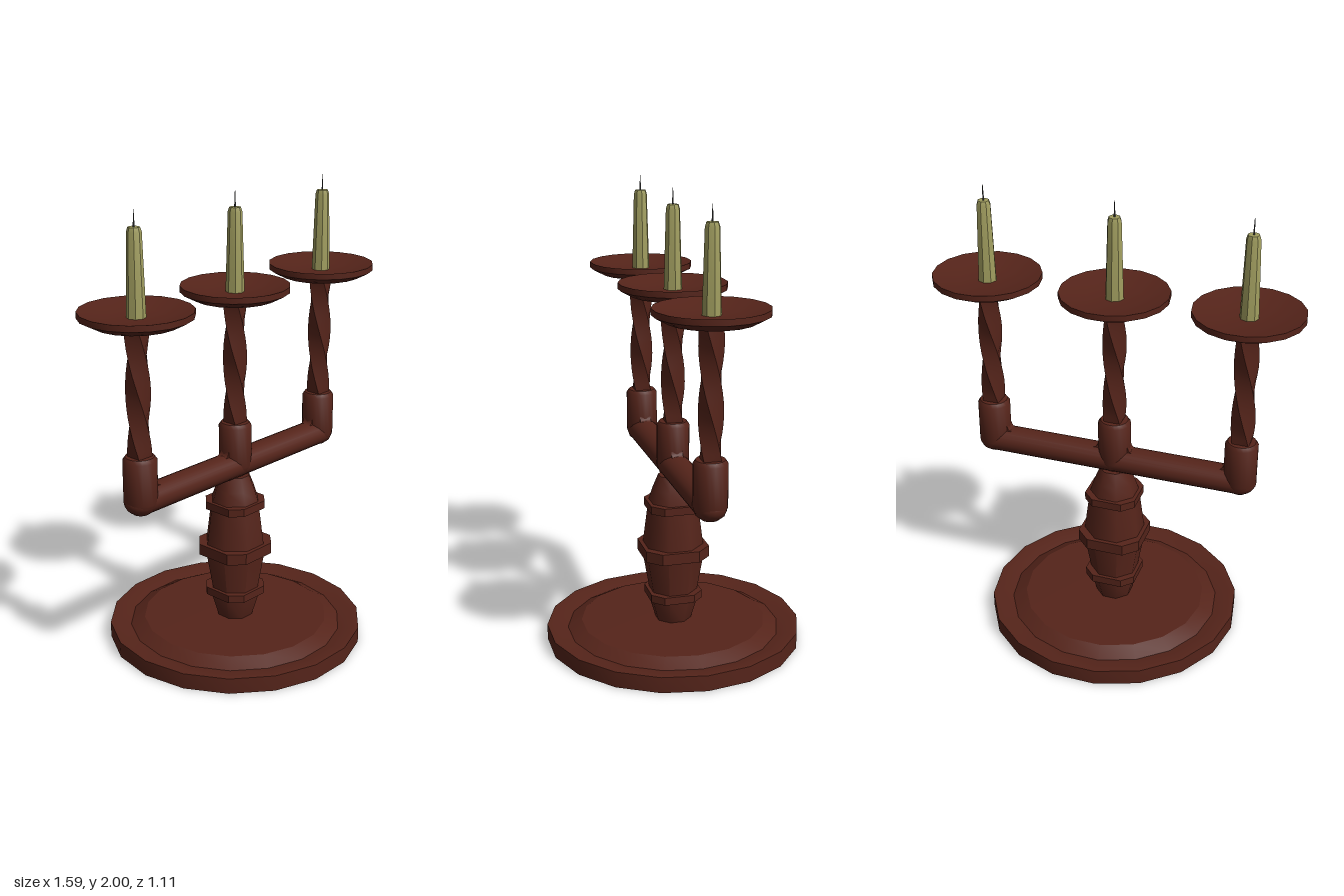
import * as THREE from 'three';
import { toCreasedNormals } from 'three/addons/utils/BufferGeometryUtils.js';

const wood = new THREE.MeshStandardMaterial({ color: 0x55241a });
const wax = new THREE.MeshStandardMaterial({ color: 0x9f9c5e });
const wickMat = new THREE.MeshStandardMaterial({ color: 0x4a4a48 });

function part(name, geometry, material = wood, crease = 0.6) {
  const mesh = new THREE.Mesh(toCreasedNormals(geometry, crease), material);
  mesh.name = name;
  return mesh;
}

// Turned shape from [radius, height] pairs, listed bottom to top, with a corner on +x
function turned(points, sides) {
  const geo = new THREE.LatheGeometry(points.map(([r, y]) => new THREE.Vector2(r, y)), sides);
  return geo.rotateY(Math.PI / 2);
}

// Square bar turned half a revolution along its height
function twistedBar(side, y0, y1) {
  const height = y1 - y0;
  const geo = new THREE.BoxGeometry(side, height, side, 1, 16, 1);
  const pos = geo.attributes.position;
  for (let i = 0; i < pos.count; i++) {
    const a = -Math.PI * (pos.getY(i) / height);
    const x = pos.getX(i), z = pos.getZ(i);
    pos.setX(i, x * Math.cos(a) + z * Math.sin(a));
    pos.setZ(i, z * Math.cos(a) - x * Math.sin(a));
  }
  return geo.translate(0, (y0 + y1) / 2, 0);
}

// Square collar with cut corners: half width, bottom, top
function collar(half, y0, y1) {
  const cut = half * 0.58;
  const corners = [[half, cut], [cut, half], [-cut, half], [-half, cut],
    [-half, -cut], [-cut, -half], [cut, -half], [half, -cut]];
  const shape = new THREE.Shape(corners.map(([x, y]) => new THREE.Vector2(x, y)));
  const geo = new THREE.ExtrudeGeometry(shape, { depth: y1 - y0, bevelEnabled: false });
  return part('collar', geo.rotateX(-Math.PI / 2).translate(0, y0, 0));
}

// Socket, twisted stem, drip tray, candle and wick
function candleHolder(name, x) {
  const holder = new THREE.Group();
  holder.name = name;
  holder.position.x = x;
  holder.add(
    part('socket', turned([
      [0, 0.753], [0.035, 0.757], [0.059, 0.776], [0.071, 0.81],
      [0.071, 0.99], [0.06, 1.006], [0, 1.006],
    ], 20), wood, 0.7),
    part('twistedStem', twistedBar(0.072, 1.0, 1.565)),
    part('dripTray', turned([
      [0, 1.554], [0.175, 1.554], [0.232, 1.584], [0.232, 1.61], [0.12, 1.582], [0, 1.58],
    ], 18), wood, 0.7),
    part('candle', turned([
      [0, 1.575], [0.04, 1.575], [0.03, 1.915], [0.024, 1.933], [0, 1.933],
    ], 8), wax, 0.3),
    part('wick', new THREE.CylinderGeometry(0.001, 0.004, 0.07, 6).translate(0, 1.965, 0), wickMat),
  );
  return holder;
}

// Small sloped filler in the corner between a socket and the arm; dir is the side it lies on
function fillet(x, dir) {
  const shape = new THREE.Shape();
  shape.moveTo(0, 0.84);
  shape.lineTo(0.1, 0.84);
  shape.lineTo(0.095, 0.86);
  shape.quadraticCurveTo(0.07, 0.862, 0.068, 0.885);
  shape.lineTo(0, 0.885);
  const geo = new THREE.ExtrudeGeometry(shape, { depth: 0.05, bevelEnabled: false, curveSegments: 4 });
  geo.translate(0, 0, -0.025);
  if (dir < 0) geo.rotateY(Math.PI);
  return part('fillet', geo.translate(x, 0, 0));
}

export function createModel() {
  const model = new THREE.Group();
  model.name = 'candelabrum';

  // Round foot: thin dish with a grooved rim, a raised middle and a hollow underside
  model.add(part('base', turned([
    [0, 0.07], [0.4, 0.068], [0.487, 0.045], [0.564, 0], [0.564, 0.07],
    [0.535, 0.07], [0.472, 0.055], [0.41, 0.088], [0, 0.09],
  ], 18), wood, 0.45));

  // Turned eight-sided column with flats to the front and sides
  const column = turned([
    [0, 0.08], [0.078, 0.08], [0.114, 0.2], [0.108, 0.23], [0.138, 0.4],
    [0.135, 0.44], [0.112, 0.62], [0.108, 0.645], [0.09, 0.7], [0.065, 0.762], [0, 0.762],
  ], 8);
  model.add(part('column', column.rotateY(Math.PI / 8), wood, 0.8));
  model.add(collar(0.115, 0.195, 0.23), collar(0.142, 0.395, 0.445), collar(0.115, 0.61, 0.645));

  // Horizontal arm, slightly wider than tall
  const arm = new THREE.CylinderGeometry(1, 1, 1.15, 20);
  arm.rotateZ(Math.PI / 2).scale(1, 0.057, 0.067).translate(0, 0.809, 0);
  model.add(part('arm', arm));

  // Rounded elbow corners under the outer sockets, with fillets inside the bends
  for (const side of [-1, 1]) {
    const elbow = new THREE.SphereGeometry(1, 20, 12).scale(0.072, 0.057, 0.068);
    model.add(part('elbow', elbow.translate(side * 0.565, 0.809, 0), wood, 1));
    model.add(fillet(0, side), fillet(side * 0.565, -side));
  }

  model.add(candleHolder('leftCandleHolder', 0.565));
  model.add(candleHolder('middleCandleHolder', 0));
  model.add(candleHolder('rightCandleHolder', -0.565));
  return model;
}
